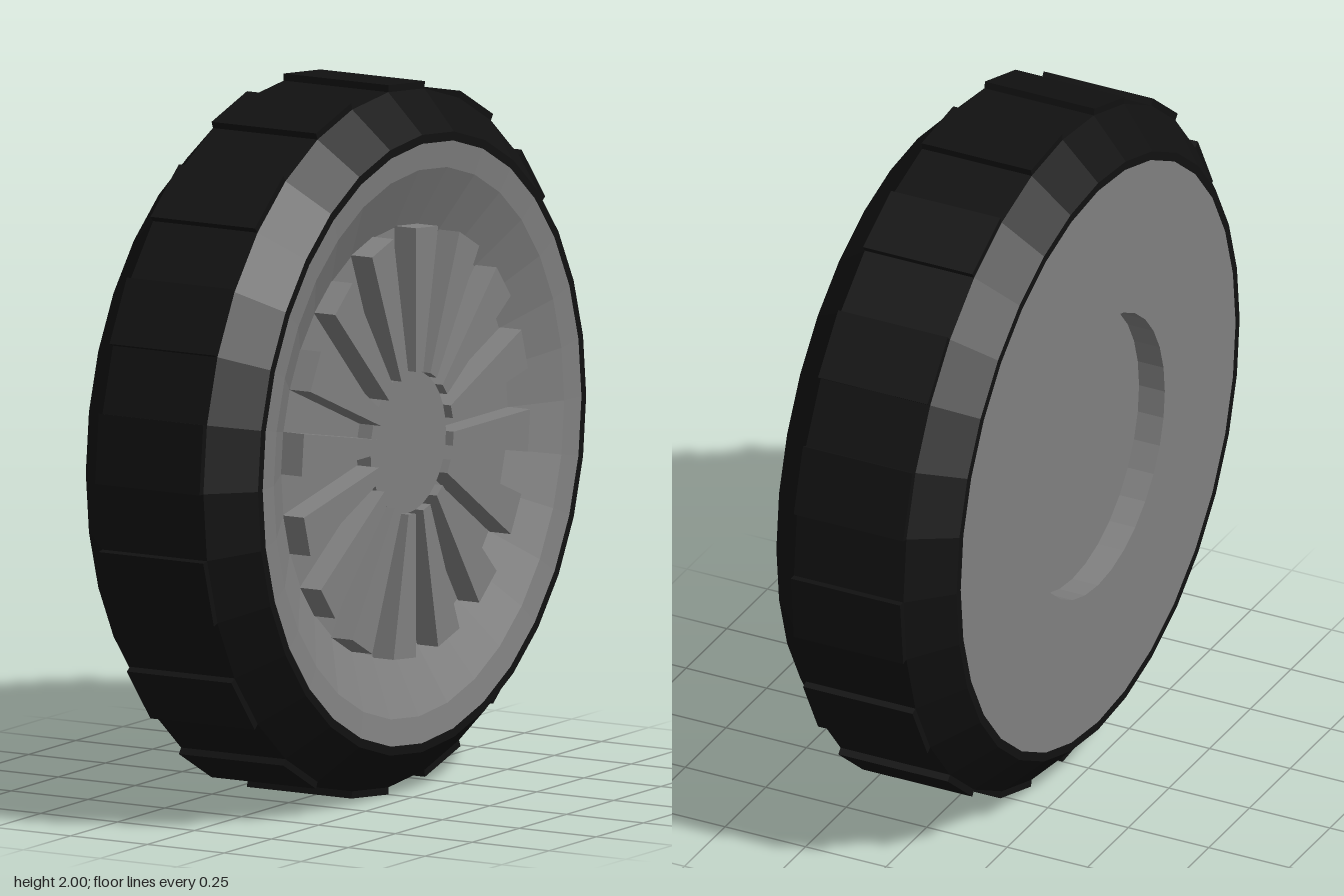
import * as THREE from 'three';

const SEGMENTS = 32;
const STEP = (Math.PI * 2) / SEGMENTS;

// Surface of revolution around the x axis; profile points are [radius, x]
function lathe(profile) {
  const g = new THREE.LatheGeometry(profile.map(([r, x]) => new THREE.Vector2(r, x)), SEGMENTS);
  return g.rotateZ(-Math.PI / 2);
}

// One-step wedge between two radii, from x0 to x1, ending at the given angle
function wedge(r0, r1, x0, x1, angle) {
  const at = (r, a) => new THREE.Vector2(r * Math.cos(a), r * Math.sin(a));
  const start = angle - STEP;
  const shape = new THREE.Shape([at(r0, start), at(r1, start), at(r1, angle), at(r0, angle)]);
  const g = new THREE.ExtrudeGeometry(shape, { depth: x1 - x0, bevelEnabled: false });
  return g.translate(0, 0, x0).rotateY(Math.PI / 2);
}

export function createModel() {
  const rubber = new THREE.MeshStandardMaterial({ color: 0x111111, flatShading: true });
  rubber.name = 'blackRubber';
  const metal = new THREE.MeshStandardMaterial({ color: 0x808080, flatShading: true });
  metal.name = 'greyMetal';

  const wheel = new THREE.Group();
  wheel.name = 'wheel';
  const add = (name, geometry, material) => {
    const mesh = new THREE.Mesh(geometry, material);
    mesh.name = name;
    wheel.add(mesh);
  };

  // Tire with chamfered shoulders
  add('tire', lathe([
    [0.845, -0.28], [0.87, -0.28], [0.98, -0.17],
    [0.98, 0.17], [0.87, 0.28], [0.845, 0.28],
  ]), rubber);

  // Flat back with round recess
  add('rimBack', lathe([[0, -0.2], [0.41, -0.2], [0.41, -0.28], [0.845, -0.28]]), metal);

  // Lip, sloping dish, floor and raised hub
  add('rimDish', lathe([
    [0.845, 0.28], [0.77, 0.27], [0.6, 0.19], [0.2, 0.19], [0.2, 0.235], [0, 0.235],
  ]), metal);

  // Spokes and tread blocks share the same alternating spacing
  for (let i = 0; i < SEGMENTS; i += 2) {
    add('spoke', wedge(0.2, 0.605, 0.18, 0.26, i * STEP), metal);
    add('treadBlock', wedge(0.95, 1, -0.17, 0.17, i * STEP), rubber);
  }

  wheel.position.y = 1;
  const model = new THREE.Group();
  model.name = 'model';
  model.add(wheel);
  return model;
}
